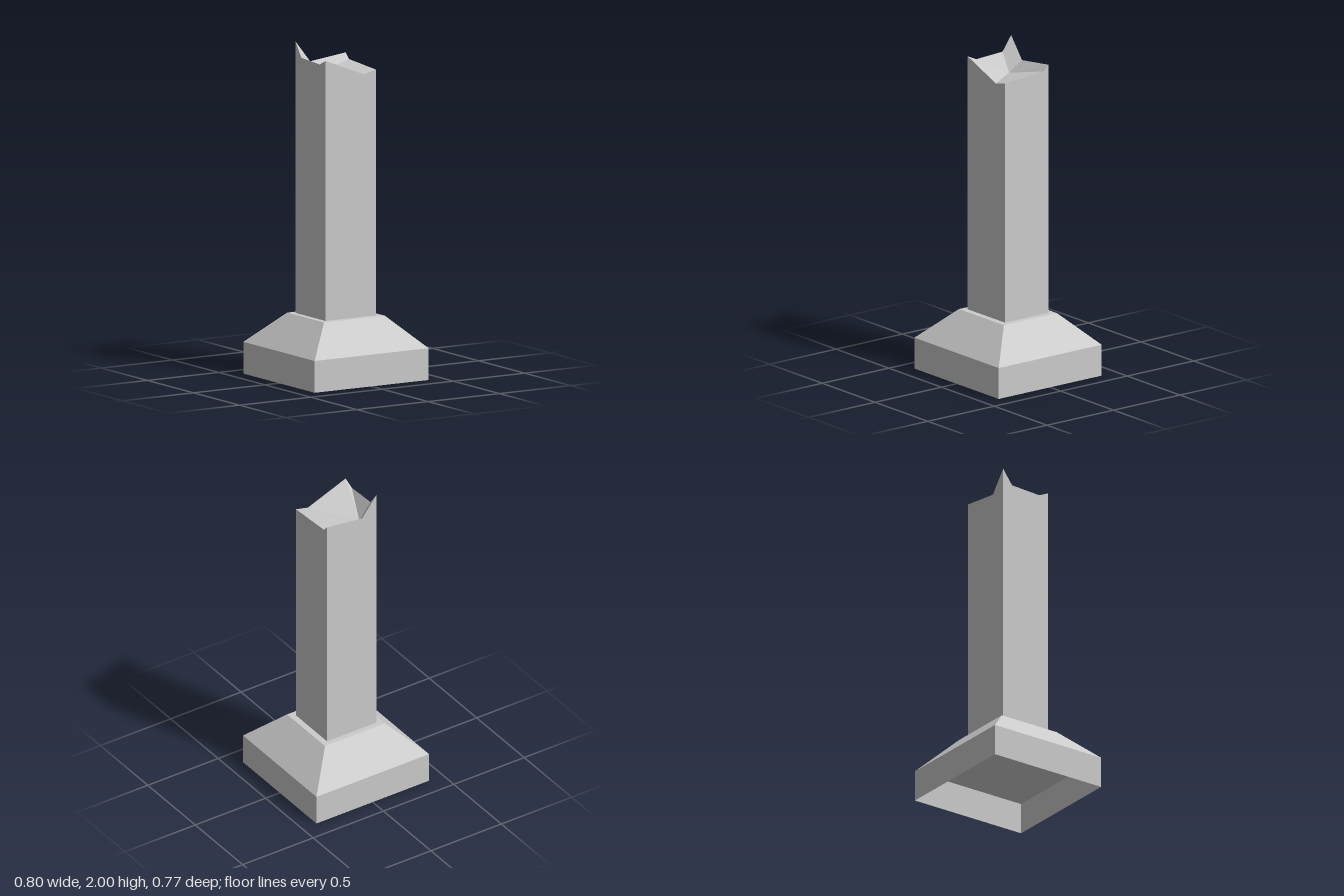
import * as THREE from 'three';

const material = new THREE.MeshStandardMaterial({ color: 0xcccccc, flatShading: true, side: THREE.DoubleSide });

// Non-indexed mesh, so every face stays flat
function facetedMesh(name, triangles) {
  const geometry = new THREE.BufferGeometry().setFromPoints(triangles);
  geometry.computeVertexNormals();
  const mesh = new THREE.Mesh(geometry, material);
  mesh.name = name;
  return mesh;
}

// Faces joining each closed loop to the next one
function loft(loops) {
  const triangles = [];
  for (let k = 0; k < loops.length - 1; k++) {
    const low = loops[k], high = loops[k + 1];
    low.forEach((a, i) => {
      const j = (i + 1) % low.length;
      triangles.push(a, low[j], high[j], a, high[j], high[i]);
    });
  }
  return triangles;
}

const vec = (x, y, z) => new THREE.Vector3(x, y, z);
const rectangle = (x0, x1, z0, z1, y) => [vec(x0, y, z1), vec(x1, y, z1), vec(x1, y, z0), vec(x0, y, z0)];

export function createModel() {
  const group = new THREE.Group();
  group.name = 'brokenPillar';
  const ledgeY = 0.375;
  const [left, right, back, front] = [-0.178, 0.175, -0.165, 0.162];

  // Hollow plinth, open underneath: upright sides, slopes and a narrow ledge
  group.add(facetedMesh('plinth', loft([
    rectangle(-0.4, 0.4, -0.387, 0.387, 0),
    rectangle(-0.4, 0.4, -0.387, 0.387, 0.19),
    rectangle(-0.213, 0.213, -0.2, 0.2, ledgeY),
    rectangle(left, right, back, front, ledgeY),
  ])));

  // Jagged rim of the shaft, running round from the front left corner
  const rim = [
    vec(left, 1.93, front), vec(0.09, 1.825, front),
    vec(right, 1.845, front), vec(right, 1.865, -0.13),
    vec(right, 1.9, back), vec(-0.075, 1.87, back),
    vec(left, 2, back), vec(left, 1.91, -0.1), vec(left, 1.9, 0.098),
  ];
  const foot = rim.map((p) => vec(p.x, ledgeY, p.z));
  group.add(facetedMesh('shaft', loft([foot, rim])));

  // Broken top: facets falling to one low point
  const pit = vec(-0.104, 1.8, -0.091);
  group.add(facetedMesh('brokenTop', rim.flatMap((p, i) => [pit, p, rim[(i + 1) % rim.length]])));

  return group;
}
